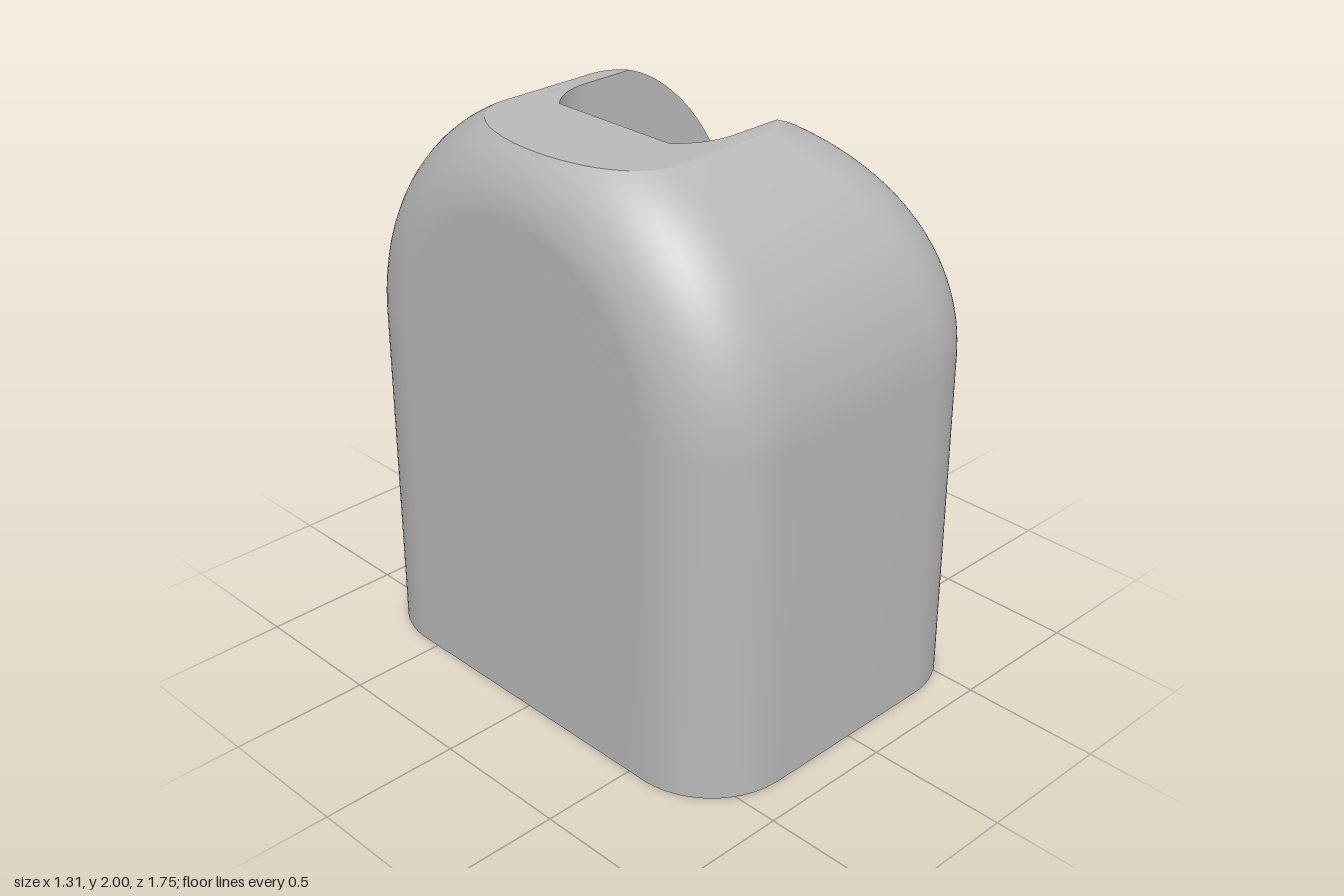
import * as THREE from 'three';
import { toCreasedNormals } from 'three/addons/utils/BufferGeometryUtils.js';

// Main dimensions
const HX = 0.655, R = 0.875, F = 0.31, C = R - F;   // half width, arch radius, edge rounding, core radius
const SPRING = 1.22, TOP = 2;                       // where the arches start, flat top
const SW = 0.335, BACK = -0.23;                     // slot half width and back wall
const HR = 0.325;                                   // radius of the cross bore
const FLOOR = 0.8, LIP = 0.905;                     // channel floor, outer and inner height
const LIPX = Math.sqrt(HR ** 2 - (LIP - SPRING) ** 2);
const SLOPE = (LIP - FLOOR) / (HX - LIPX);
const SHAFT = SPRING + Math.sqrt(HR ** 2 - BACK ** 2);
const lerp = THREE.MathUtils.lerp;

// Half outline (z >= 0) of the rounded block at height y, from the right end to the left end
function outline(y) {
  const h = Math.max(0, y - SPRING), N = 20, pts = [];
  for (let i = 0; i <= N; i++) {
    const a = (i / N) * Math.PI / 2;
    const at = (t) => {
      const yc = Math.sqrt(Math.max(0, C * C - t * t));
      const n = new THREE.Vector3(t * Math.cos(a), yc * (Math.cos(a) + Math.sin(a)), t * Math.sin(a)).normalize();
      return { x: t + F * n.x, y: yc + F * n.y, z: t + F * n.z };
    };
    let lo = 0, hi = C;
    for (let k = 0; k < 45 && h > 0; k++) {
      const m = (lo + hi) / 2;
      if (at(m).y > h) lo = m; else hi = m;
    }
    const p = at(hi);
    if (i === 0) pts.push([p.x + HX - R, 0]);
    pts.push([p.x + HX - R, p.z]);
  }
  const low = Math.asin(Math.max(0, (h - C) / F));
  for (let i = 0; i <= N; i++) {
    const a = low + (Math.PI / 2 - low) * (1 - i / N) ** 2;
    const rho = C + F * Math.sin(a);
    pts.push([-HX + F - F * Math.cos(a), Math.sqrt(Math.max(0, rho * rho - h * h))]);
  }
  pts.push([pts[pts.length - 1][0], 0]);
  return pts;
}

// Half width of the channel, v above its floor (rounded lower corners)
function channelWidth(v) {
  const r = 0.21, d = THREE.MathUtils.clamp(0.2 - v, 0, 0.2);
  return SW - r + Math.sqrt(r * r - d * d);
}

// Half width of the shaft at x (rounded back corners)
function shaftWidth(x) {
  const r = 0.2548, d = Math.max(0, -0.04 - x);
  return SW - r + Math.sqrt(r * r - d * d);
}

// Closed cross-section at height y: outside, then the slot walls
function section(y, bore) {
  const outer = outline(y);
  const floorAt = (x) => FLOOR + SLOPE * (HX - x);
  const w = channelWidth(y - FLOOR);
  const k = outer.findIndex((p) => p[1] >= w);
  const f = (w - outer[k - 1][1]) / (outer[k][1] - outer[k - 1][1]);
  const x0 = lerp(outer[k - 1][0], outer[k][0], f);
  for (let i = 0; i < k; i++) outer[i] = [x0, w];

  const inner = [], K = 14;
  const c = Math.sqrt(Math.max(0, HR ** 2 - (y - SPRING) ** 2));
  const xa = bore ? Math.min(c, x0) : HX - Math.max(0, y - FLOOR) / SLOPE;
  for (let i = 0; i <= K; i++) {
    const x = lerp(x0, xa, i / K);
    inner.push([x, channelWidth(y - floorAt(x))]);
  }
  const end = inner[K];
  if (bore) {
    const back = y >= SHAFT - 1e-9 ? BACK : -c;
    inner.push([xa, SW], [-c, SW]);
    for (let i = 0; i <= 10; i++) {
      const x = lerp(-c, back, i / 10);
      inner.push([x, back === BACK ? shaftWidth(x) : SW]);
    }
    inner.push([back, 0]);
  } else {
    for (let i = 0; i < 13; i++) inner.push(end);
    inner.push([end[0], 0]);
  }
  const flip = (list) => list.slice(0, -1).reverse().map(([x, z]) => [x, -z]);
  const innerBack = inner.slice().reverse();
  return [...outer, ...flip(outer), ...inner.map(([x, z]) => [x, -z]), ...innerBack.slice(1)]
    .map(([x, z]) => new THREE.Vector3(x, y, z));
}

function blockGeometry() {
  // Section heights: solid foot, channel floor, bore, shaft
  const rows = [section(0, false)];
  const span = (a, b, n, bore) => {
    for (let i = 0; i <= n; i++) rows.push(section(lerp(a, b, i / n), bore));
  };
  span(FLOOR, LIP, 8, false);
  span(LIP, SPRING, 22, true);
  span(SPRING, SHAFT, 14, true);
  span(SHAFT, SPRING + HR, 8, true);
  span(SPRING + HR, TOP, 24, true);

  const pos = [];
  const ab = new THREE.Vector3(), ac = new THREE.Vector3();
  const tri = (a, b, c) => {
    if (ab.subVectors(b, a).cross(ac.subVectors(c, a)).length() < 1e-8) return;
    for (const p of [a, b, c]) pos.push(p.x, p.y, p.z);
  };
  for (let j = 0; j + 1 < rows.length; j++) {
    const lo = rows[j], up = rows[j + 1];
    for (let i = 0; i < lo.length; i++) {
      const n = (i + 1) % lo.length;
      tri(lo[i], up[i], lo[n]);
      tri(lo[n], up[i], up[n]);
    }
  }
  // Flat top and base
  const cap = (row, dir) => {
    const loop = row.filter((p, i) => p.distanceTo(row[(i + 1) % row.length]) > 1e-6);
    const flat = loop.map((p) => new THREE.Vector2(p.x, p.z));
    for (const [a, b, c] of THREE.ShapeUtils.triangulateShape(flat, [])) {
      const [p, q, r] = [loop[a], loop[b], loop[c]];
      const ny = (q.z - p.z) * (r.x - p.x) - (q.x - p.x) * (r.z - p.z);
      if (ny * dir > 0) tri(p, q, r); else tri(p, r, q);
    }
  };
  cap(rows[0], -1);
  cap(rows[rows.length - 1], 1);

  const geometry = new THREE.BufferGeometry();
  geometry.setAttribute('position', new THREE.Float32BufferAttribute(pos, 3));
  return toCreasedNormals(geometry, 0.45);
}

export function createModel() {
  const grey = new THREE.MeshStandardMaterial({ color: 0xb8b8b8 });
  grey.name = 'grey';
  const block = new THREE.Mesh(blockGeometry(), grey);
  block.name = 'slottedBlock';
  const model = new THREE.Group();
  model.name = 'slottedEndPiece';
  model.add(block);
  return model;
}
